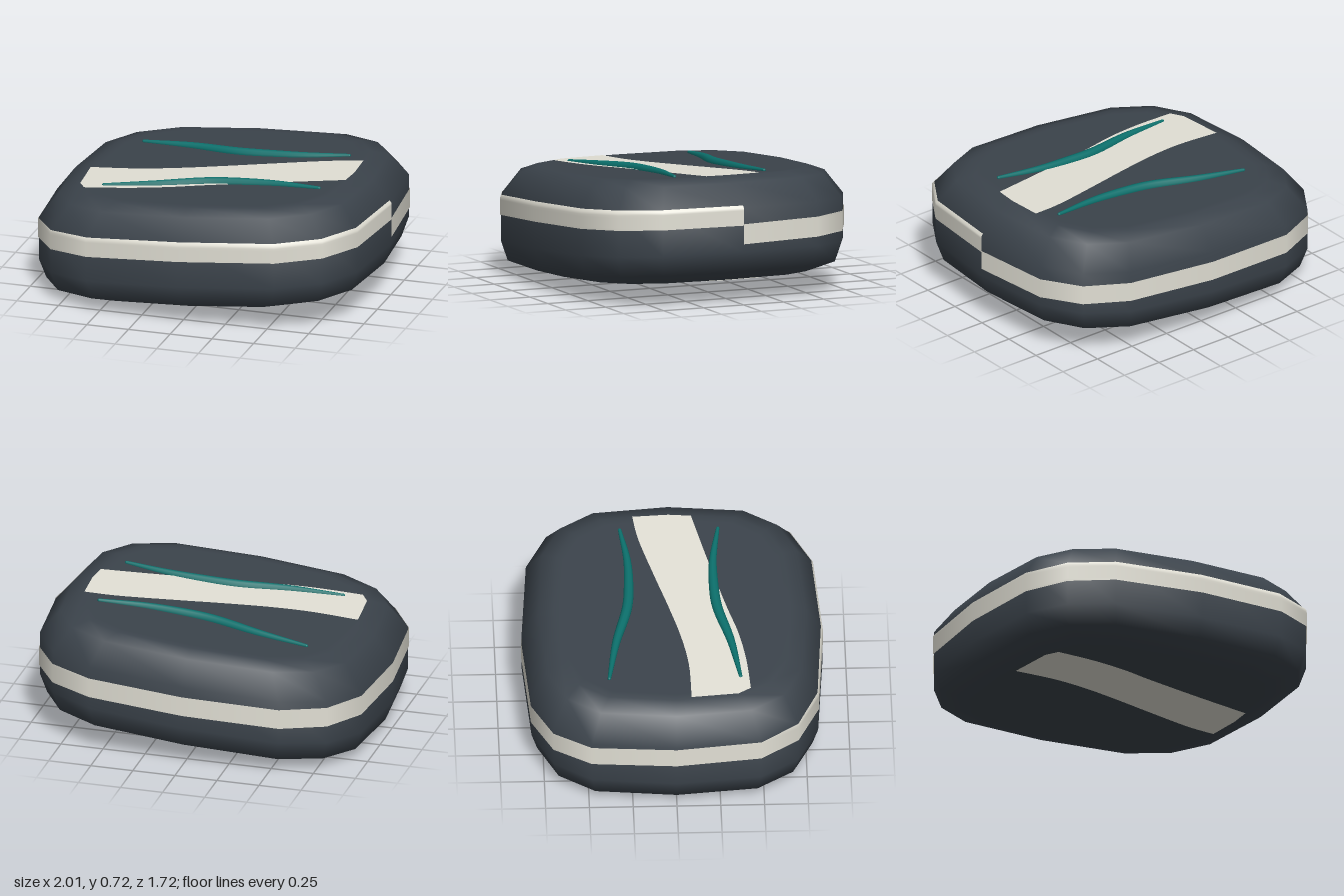
import * as THREE from 'three';
import { mergeVertices } from 'three/addons/utils/BufferGeometryUtils.js';

const TILT = 0.072, DEPTH = 0.858, SIDES = 16, TOP = 0.66, BASE = 0.06;
const charcoal = new THREE.MeshStandardMaterial({ color: 0x3b434b });
const cream = new THREE.MeshStandardMaterial({ color: 0xe2e0d5, side: THREE.DoubleSide });
const teal = new THREE.MeshStandardMaterial({ color: 0x0c716d });
charcoal.name = 'charcoal';
cream.name = 'cream';
teal.name = 'teal';

// side profile: [radius, height], bottom to top
const profile = [[0, BASE], [0.74, BASE], [0.79, BASE], [0.96, 0.12], [1, 0.235],
  [1, 0.49], [0.89, 0.627], [0.79, TOP], [0.74, TOP], [0, TOP]];

// piecewise linear lookup of radius by height on the outer wall
function radiusAt(y) {
  for (let i = 3; i < 7; i++) {
    const [r0, y0] = profile[i], [r1, y1] = profile[i + 1];
    if (y <= y1) return r0 + (r1 - r0) * (y - y0) / (y1 - y0);
  }
  return 0.79;
}

const soften = (v) => (Math.abs(v) < 1e-6 ? 0 : Math.sign(v) * Math.abs(v) ** 0.6);

// rounded-square plan, sheared so that it rises towards +x
function place(pos, k, r, y, s, c) {
  const x = r * soften(s);
  pos.setXYZ(k, x, y + TILT * x, r * DEPTH * soften(c));
}

function bodyGeometry() {
  let g = new THREE.LatheGeometry(profile.map(([r, y]) => new THREE.Vector2(r, y)), SIDES);
  const p = g.attributes.position;
  for (let k = 0; k < p.count; k++) {
    const x = p.getX(k), z = p.getZ(k), r = Math.hypot(x, z);
    place(p, k, r, p.getY(k), r ? x / r : 0, r ? z / r : 0);
  }
  g.deleteAttribute('uv');
  g.deleteAttribute('normal');
  g = mergeVertices(g, 1e-5);
  g.computeVertexNormals();
  return g;
}

// band climbing once round the wall, with a step where it meets itself at +x
function bandGeometry() {
  const rows = 9, heights = [0.338, 0.372, 0.422, 0.449, 0.446];
  const pts = Array.from({ length: rows }, (_, j) => new THREE.Vector2(1, j));
  const g = new THREE.LatheGeometry(pts, SIDES, Math.PI / 2);
  const p = g.attributes.position;
  for (let k = 0; k < p.count; k++) {
    const i = Math.floor(k / rows), j = k % rows;
    const q = Math.min(3, Math.floor(i / 4));
    const mid = THREE.MathUtils.lerp(heights[q], heights[q + 1], i / 4 - q);
    const y = mid + (j / (rows - 1) - 0.5) * 0.116;
    const a = Math.PI / 2 + (i / SIDES) * Math.PI * 2;
    place(p, k, radiusAt(y) + 0.004, y, Math.sin(a), Math.cos(a));
  }
  g.computeVertexNormals();
  return g;
}

// swept stripe lying on the flat top (side = 1) or bottom (side = -1)
function stripeGeometry(side) {
  const far = [[-0.77, 0.09], [-0.5, 0.083], [-0.26, 0.045], [0, -0.02], [0.25, -0.09], [0.57, -0.175], [0.77, -0.205]];
  const near = [[0.77, 0.13], [0.39, 0.215], [0, 0.31], [-0.22, 0.37], [-0.45, 0.41], [-0.7, 0.43]];
  const v = ([x, z]) => new THREE.Vector2(x, -side * z);
  const s = new THREE.Shape();
  s.moveTo(...v(far[0]));
  s.splineThru(far.slice(1).map(v));
  s.lineTo(...v([0.782, 0]));
  s.lineTo(...v(near[0]));
  s.splineThru(near.slice(1).map(v));
  s.lineTo(...v([-0.745, 0.36]));
  const g = new THREE.ShapeGeometry(s, 4);
  g.rotateX(-side * Math.PI / 2);
  const p = g.attributes.position;
  const y = side > 0 ? TOP + 0.004 : BASE - 0.003;
  for (let k = 0; k < p.count; k++) p.setY(k, y + TILT * p.getX(k));
  // the outline may wind either way, so make the faces point outwards
  g.computeVertexNormals();
  if (g.attributes.normal.getY(0) * side < 0) {
    g.setIndex(Array.from(g.index.array).reverse());
    g.computeVertexNormals();
  }
  return g;
}

// curved rib on the top, thickest in the middle and tapering to both ends
function ribGeometry(side) {
  const path = [[-0.6, 0.375], [-0.3, 0.328], [0, 0.256], [0.2, 0.242], [0.4, 0.245], [0.66, 0.28]];
  const curve = new THREE.CatmullRomCurve3(path.map(([x, z]) =>
    new THREE.Vector3(x, TOP + 0.003 + TILT * x, side * z)));
  const steps = 28, radial = 10;
  const g = new THREE.TubeGeometry(curve, steps, 1, radial);
  const p = g.attributes.position, v = new THREE.Vector3();
  for (let k = 0; k < p.count; k++) {
    const t = Math.floor(k / (radial + 1)) / steps;
    const centre = curve.getPointAt(t);
    const radius = 0.01 + 0.02 * Math.sin(Math.PI * t);
    v.fromBufferAttribute(p, k).sub(centre).multiplyScalar(radius).add(centre);
    p.setXYZ(k, v.x, v.y, v.z);
  }
  return g;
}

export function createModel() {
  const model = new THREE.Group();
  model.name = 'cushionCase';
  const add = (name, geometry, material, parent = model) => {
    const mesh = new THREE.Mesh(geometry, material);
    mesh.name = name;
    parent.add(mesh);
    return mesh;
  };
  add('body', bodyGeometry(), charcoal);
  add('sideBand', bandGeometry(), cream);
  add('topStripe', stripeGeometry(1), cream);
  add('bottomStripe', stripeGeometry(-1), cream);

  for (const [side, name] of [[1, 'frontRib'], [-1, 'backRib']]) {
    const rib = new THREE.Group();
    rib.name = name;
    add(name + 'Bar', ribGeometry(side), teal, rib);
    // rounded ends
    for (const [x, z] of [[-0.6, 0.375], [0.66, 0.28]]) {
      const tip = add(name + 'Tip', new THREE.SphereGeometry(0.01, 10, 6), teal, rib);
      tip.position.set(x, TOP + 0.003 + TILT * x, side * z);
    }
    model.add(rib);
  }
  return model;
}
